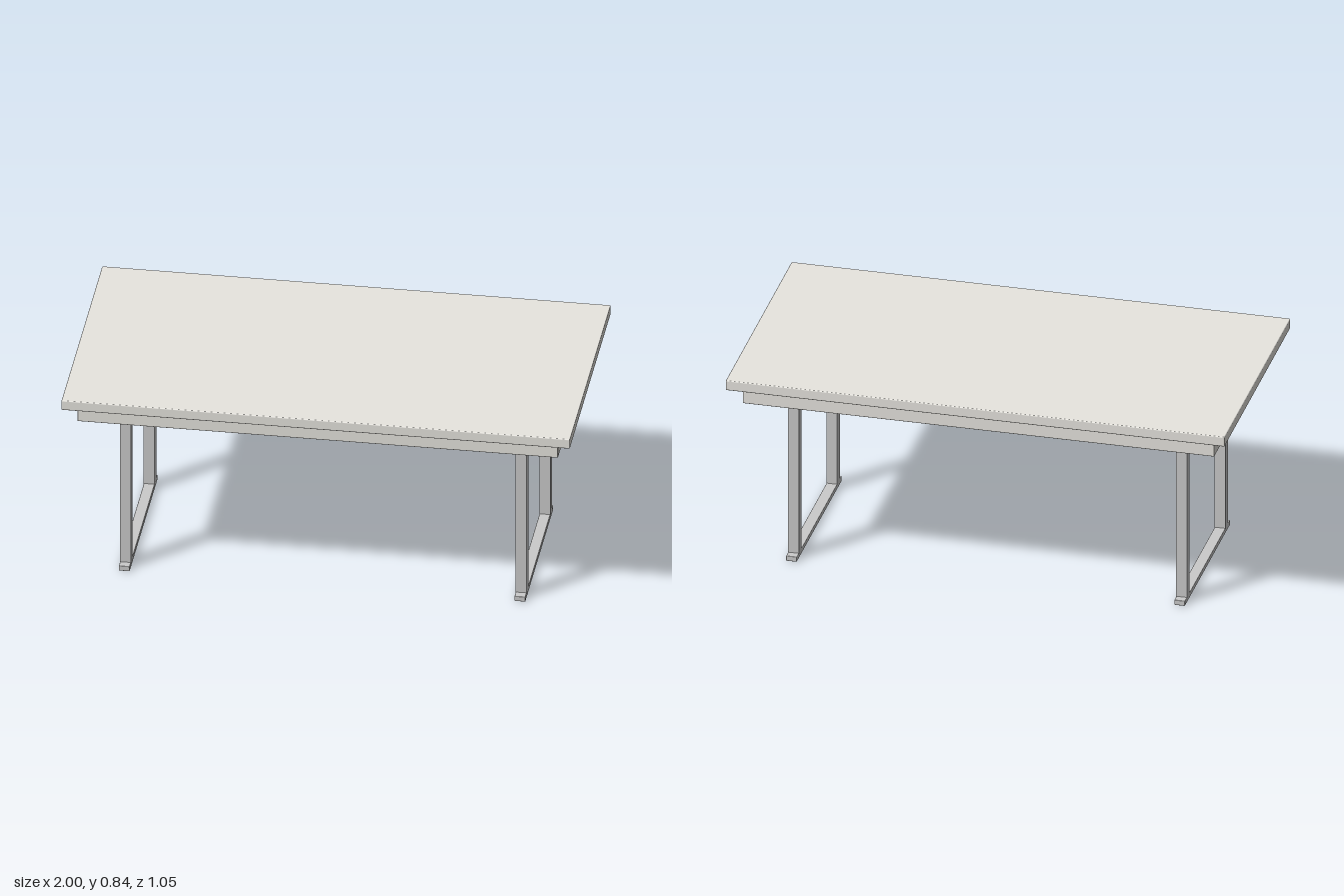
import * as THREE from 'three';
import { RoundedBoxGeometry } from 'three/addons/geometries/RoundedBoxGeometry.js';

export function createModel() {
  const table = new THREE.Group();
  table.name = 'table';
  const board = new THREE.MeshStandardMaterial({ color: 0xe8e6e0 });
  const metal = new THREE.MeshStandardMaterial({ color: 0xcccccc });

  // Box from its size, bottom height and centre; a bevel softens its edges
  function addBox(parent, name, material, [w, h, d], [x, bottom, z], bevel = 0) {
    const geometry = bevel
      ? new RoundedBoxGeometry(w, h, d, 2, bevel)
      : new THREE.BoxGeometry(w, h, d);
    const mesh = new THREE.Mesh(geometry, material);
    mesh.name = name;
    mesh.position.set(x, bottom + h / 2, z);
    parent.add(mesh);
  }

  // Top slab over an inset apron
  addBox(table, 'tableTop', board, [2, 0.042, 1.054], [0, 0.801, 0], 0.004);
  addBox(table, 'apron', board, [1.89, 0.077, 0.944], [0, 0.724, 0], 0.003);

  // A mirrored frame at each end: foot bar, two posts and an upper rail
  for (const side of [-1, 1]) {
    const frame = new THREE.Group();
    frame.name = side > 0 ? 'leftLegFrame' : 'rightLegFrame';
    frame.position.x = side * 0.778;
    addBox(frame, 'foot', metal, [0.043, 0.022, 0.72], [0, 0, 0], 0.003);
    for (const end of [-1, 1]) {
      addBox(frame, end > 0 ? 'frontLeg' : 'backLeg', metal,
        [0.043, 0.706, 0.043], [0, 0.02, end * 0.306]);
    }
    addBox(frame, 'upperRail', metal, [0.031, 0.031, 0.572], [0, 0.674, 0]);
    table.add(frame);
  }
  return table;
}
